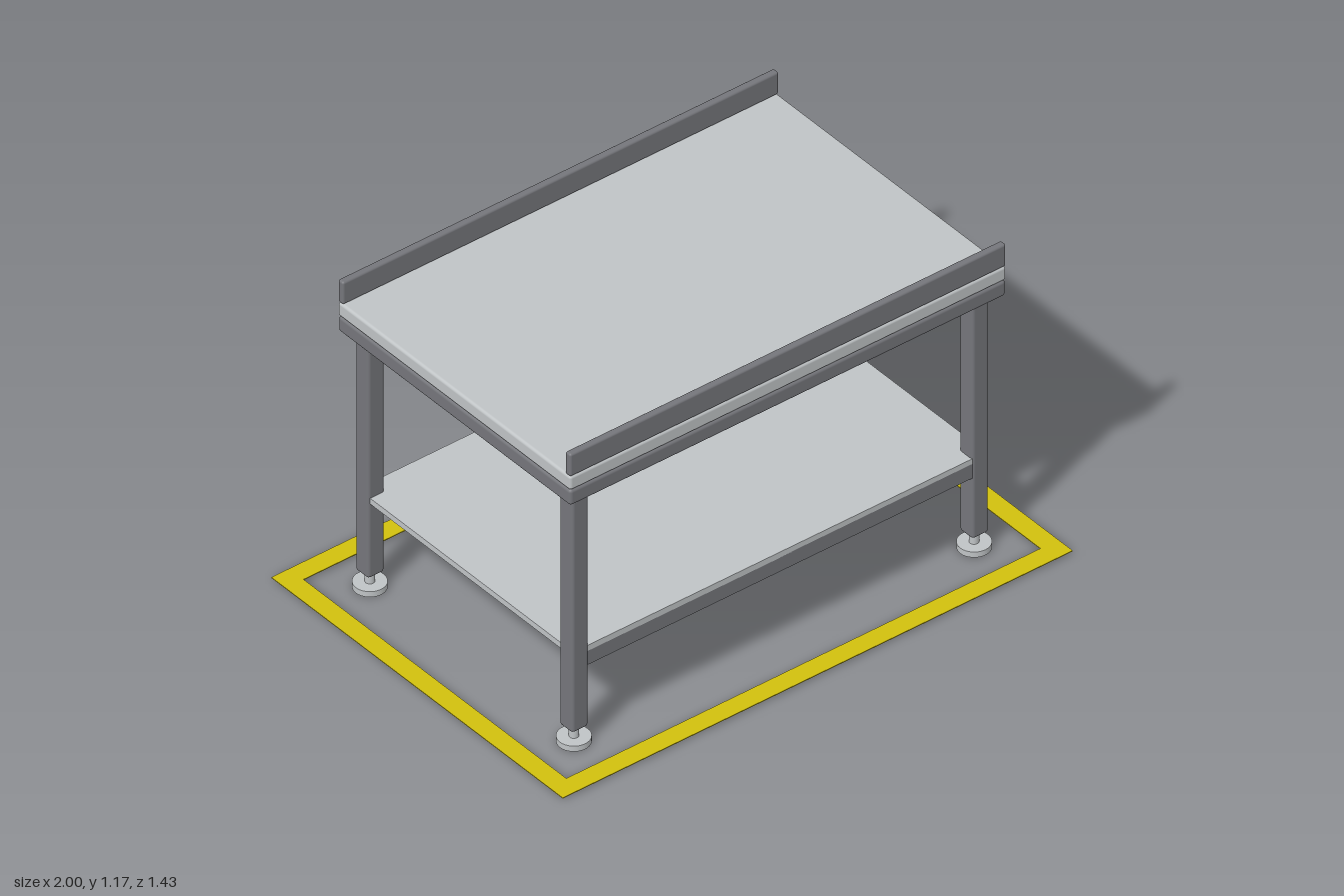
import * as THREE from 'three';
import { RoundedBoxGeometry } from 'three/addons/geometries/RoundedBoxGeometry.js';

export function createModel() {
  const model = new THREE.Group();
  model.name = 'workTable';

  const material = (name, color) => {
    const m = new THREE.MeshStandardMaterial({ color });
    m.name = name;
    return m;
  };
  const lightSteel = material('light steel', 0xc0c4c6);
  const darkSteel = material('dark steel', 0x75767b);
  const yellow = material('floor marking yellow', 0xd2c10e);

  const add = (name, geometry, mat, x, y, z) => {
    const mesh = new THREE.Mesh(geometry, mat);
    mesh.name = name;
    mesh.position.set(x, y, z);
    model.add(mesh);
    return mesh;
  };
  // Box with softened edges, placed by its lower and upper height
  const slab = (name, mat, w, y0, y1, d, r, x = 0, z = 0) =>
    add(name, new RoundedBoxGeometry(w, y1 - y0, d, 2, r), mat, x, (y0 + y1) / 2, z);

  // Table top on its dark frame
  slab('tableFrame', darkSteel, 1.71, 0.975, 1.035, 1.14, 0.012);
  slab('tableTop', lightSteel, 1.71, 1.035, 1.088, 1.14, 0.01);

  // Lower shelf
  add('shelf', new THREE.BoxGeometry(1.62, 0.022, 1.058), lightSteel, 0, 0.359, 0);

  for (const sz of [1, -1]) {
    // Raised edge guard and shelf rail along each long side
    slab('edgeGuard', darkSteel, 1.71, 1.088, 1.174, 0.026, 0.008, 0, sz * 0.557);
    add('shelfRail', new THREE.BoxGeometry(1.52, 0.055, 0.058), darkSteel, 0, 0.3225, sz * 0.5);

    // Legs with levelling feet
    for (const sx of [1, -1]) {
      const x = sx * 0.785, z = sz * 0.5;
      slab('leg', darkSteel, 0.066, 0.06, 0.98, 0.066, 0.012, x, z);
      add('footStem', new THREE.CylinderGeometry(0.016, 0.016, 0.055, 20), lightSteel, x, 0.0425, z);
      add('footPad', new THREE.CylinderGeometry(0.055, 0.055, 0.021, 32), lightSteel, x, 0.0105, z);
    }
  }

  // Floor marking: a thin rectangular border
  const rect = (Type, a, b) => new Type([[-a, -b], [a, -b], [a, b], [-a, b]].map(p => new THREE.Vector2(...p)));
  const border = rect(THREE.Shape, 1, 0.714);
  border.holes.push(rect(THREE.Path, 0.93, 0.644));
  const marking = new THREE.ExtrudeGeometry(border, { depth: 0.003, bevelEnabled: false });
  marking.rotateX(-Math.PI / 2);
  add('floorMarking', marking, yellow, 0, 0.007, 0);

  return model;
}
